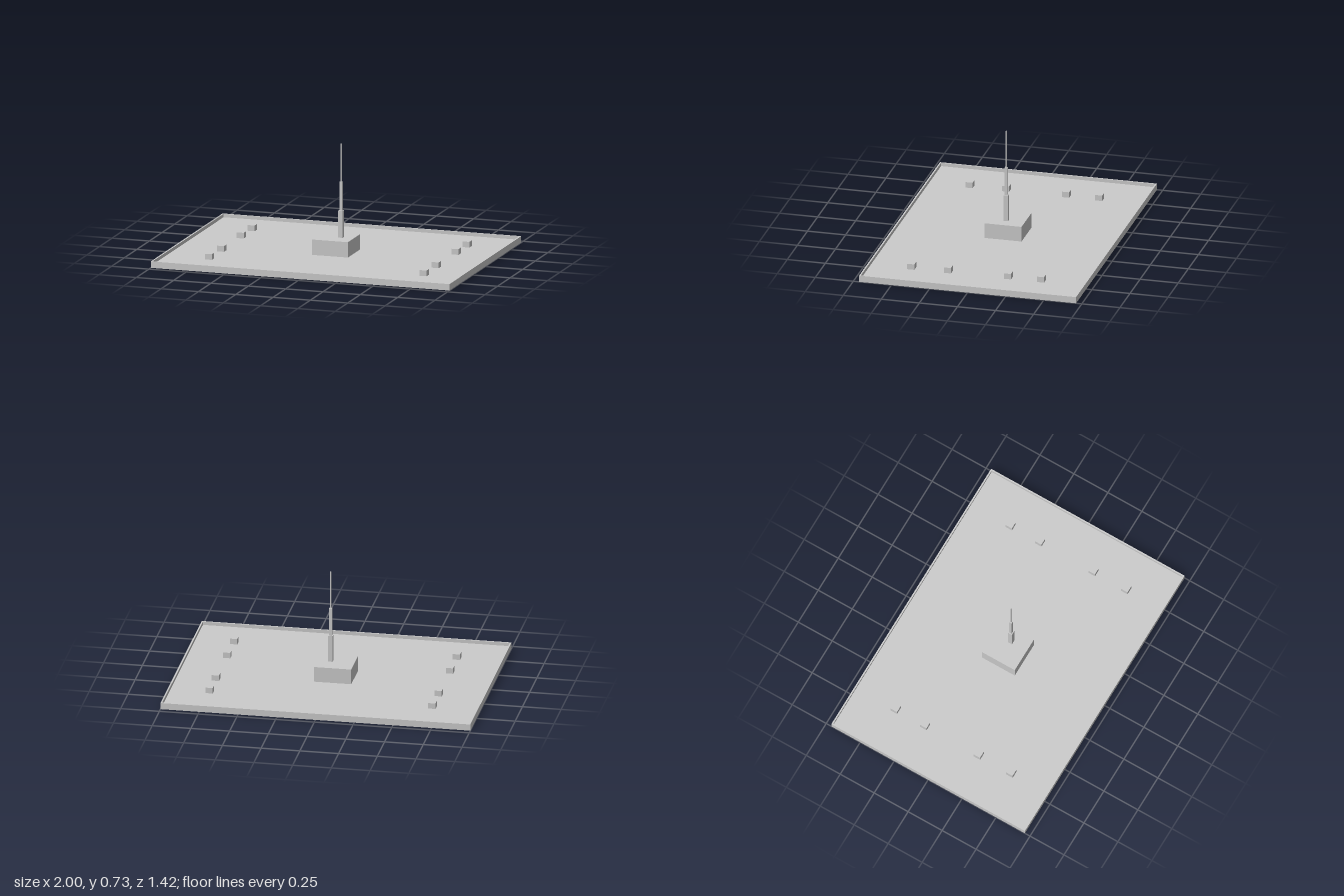
import * as THREE from 'three';

const W = 2, D = 1.425, H = 0.042, RIM = 0.01, FLOOR = 0.02;

export function createModel() {
  const model = new THREE.Group();
  const grey = new THREE.MeshStandardMaterial({ color: 0xcccccc, flatShading: true });
  const thin = new THREE.MeshStandardMaterial({ color: 0xcccccc, side: THREE.DoubleSide });

  // Box standing on height y0 and reaching y1
  const block = (name, w, d, y0, y1, x, z) => {
    const mesh = new THREE.Mesh(new THREE.BoxGeometry(w, y1 - y0, d), grey);
    mesh.position.set(x, (y0 + y1) / 2, z);
    mesh.name = name;
    model.add(mesh);
  };

  // Rim: rectangular frame around the floor
  const rectangle = (Type, w, d) => new Type([
    new THREE.Vector2(-w / 2, -d / 2), new THREE.Vector2(w / 2, -d / 2),
    new THREE.Vector2(w / 2, d / 2), new THREE.Vector2(-w / 2, d / 2),
  ]);
  const frame = rectangle(THREE.Shape, W, D);
  frame.holes.push(rectangle(THREE.Path, W - 2 * RIM, D - 2 * RIM));
  const rimGeometry = new THREE.ExtrudeGeometry(frame, { depth: H, bevelEnabled: false });
  rimGeometry.rotateX(-Math.PI / 2);
  const rim = new THREE.Mesh(rimGeometry, grey);
  rim.name = 'rim';
  model.add(rim);

  // Thin floor sheet set halfway up the rim
  const floorGeometry = new THREE.PlaneGeometry(W - 2 * RIM, D - 2 * RIM);
  floorGeometry.rotateX(-Math.PI / 2);
  const floor = new THREE.Mesh(floorGeometry, thin);
  floor.position.y = FLOOR;
  floor.name = 'floor';
  model.add(floor);

  // Central housing
  block('housing', 0.242, 0.242, FLOOR, 0.12, 0, 0);

  // Stepped mast, slightly off centre
  block('mastLower', 0.03, 0.03, 0.12, 0.295, 0.035, 0.002);
  block('mastMiddle', 0.018, 0.018, 0.295, 0.482, 0.035, 0.002);
  block('mastTip', 0.008, 0.008, 0.482, 0.73, 0.035, 0.002);

  // Two rows of small roof blocks
  for (const x of [-0.7, 0.738])
    for (const z of [-0.415, -0.198, 0.196, 0.436])
      block('roofBlock', 0.047, 0.047, FLOOR, 0.057, x, z);

  return model;
}
